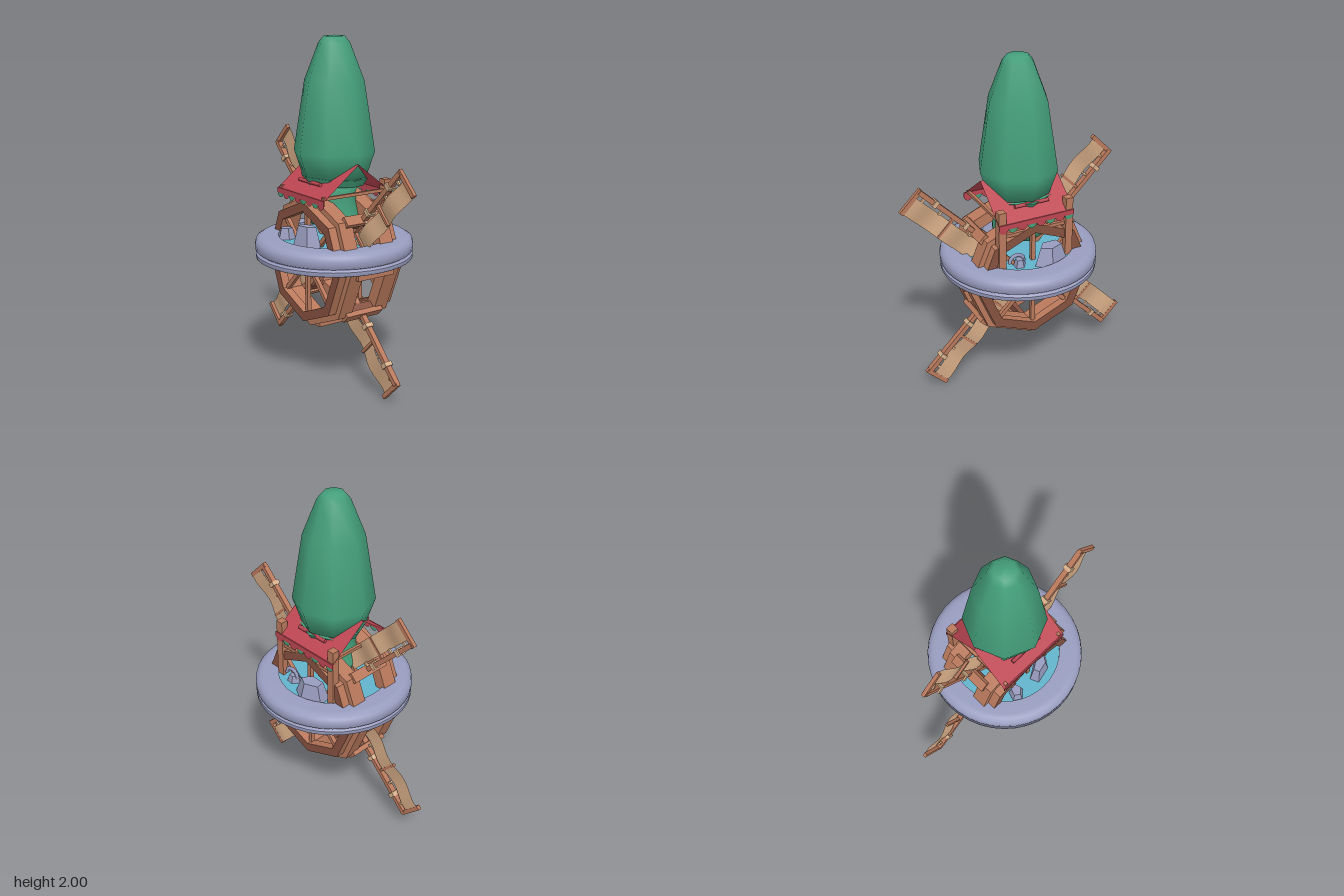
import * as THREE from 'three';

const mat = (name, color, double) => {
  const m = new THREE.MeshStandardMaterial({ color });
  m.name = name;
  if (double) m.side = THREE.DoubleSide;
  return m;
};

export function createModel() {
  const model = new THREE.Group();
  model.name = 'waterwheelFountain';
  const wood = mat('wood', 0xb9795c);
  const darkWood = mat('darkWood', 0x865140);
  const rope = mat('rope', 0xd6b08c);
  const cloth = mat('sailCloth', 0xcfa682, true);
  const leaf = mat('leafGreen', 0x449f7b, true);
  const red = mat('awningRed', 0xbd4652, true);
  const stone = mat('stone', 0x999dbf);
  const water = mat('water', 0x62b4cc);

  const add = (parent, name, geo, material, x = 0, y = 0, z = 0) => {
    const mesh = new THREE.Mesh(geo, material);
    mesh.name = name;
    mesh.position.set(x, y, z);
    parent.add(mesh);
    return mesh;
  };
  const box = (parent, name, material, w, h, d, x, y, z) =>
    add(parent, name, new THREE.BoxGeometry(w, h, d), material, x, y, z);
  const pts = (list) => list.map(([x, y]) => new THREE.Vector2(x, y));

  // Tree: eight-sided crown, tilted collar and bell-shaped lower foliage
  add(model, 'treeCrown', new THREE.LatheGeometry(pts([
    [0, 1.2], [0.185, 1.2], [0.235, 1.35], [0.172, 1.75], [0.09, 1.96], [0.06, 1.995], [0, 2],
  ]), 8), leaf);
  const collar = add(model, 'treeCollar', new THREE.CylinderGeometry(0.195, 0.17, 0.045, 8), leaf, 0, 1.18, 0);
  collar.rotation.z = -0.06;
  add(model, 'lowerFoliage', new THREE.LatheGeometry(pts([
    [0, 0.94], [0.16, 0.94], [0.16, 0.98], [0.12, 1.1], [0.15, 1.18], [0, 1.19],
  ]), 8), leaf);

  // Stone basin with a grooved rim, and the water in it
  add(model, 'basin', new THREE.LatheGeometry(pts([
    [0, 0.73], [0.45, 0.73], [0.45, 0.73], [0.459, 0.735], [0.459, 0.757], [0.459, 0.757], [0.447, 0.763],
    [0.447, 0.77], [0.447, 0.77], [0.459, 0.778], [0.462, 0.81], [0.455, 0.838], [0.43, 0.853],
    [0.4, 0.856], [0.325, 0.856], [0.325, 0.856], [0.325, 0.81], [0, 0.81],
  ]), 40), stone);
  const pool = add(model, 'water', new THREE.CircleGeometry(0.327, 40), water, 0, 0.835, 0);
  pool.rotation.x = -Math.PI / 2;

  // Rocks in the pool
  const rock = (x, z, w, h, d, turn) => {
    const g = new THREE.CylinderGeometry(0.3, 0.5, 1, 5).toNonIndexed();
    g.computeVertexNormals();
    const m = add(model, 'rock', g, stone, x, 0.81 + h / 2, z);
    m.scale.set(w, h, d);
    m.rotation.y = turn;
  };
  rock(0.25, -0.08, 0.15, 0.13, 0.24, 0.2);
  rock(0.22, 0.1, 0.08, 0.07, 0.1, 0.7);
  rock(-0.23, 0.06, 0.1, 0.14, 0.2, 0.4);
  rock(-0.24, -0.14, 0.1, 0.09, 0.12, 1);
  const spout = add(model, 'spoutArch', new THREE.TorusGeometry(0.045, 0.012, 5, 6, Math.PI), stone, 0.22, 0.865, 0.12);
  spout.rotation.y = Math.PI / 2;

  // Water wheel: octagonal rims, spokes, paddles and hub, turning about x
  const wheel = new THREE.Group();
  wheel.name = 'waterWheel';
  wheel.position.y = 0.72;
  model.add(wheel);
  const octagon = (r) => pts(Array.from({ length: 8 }, (_, i) =>
    [r * Math.cos(i * Math.PI / 4), r * Math.sin(i * Math.PI / 4)]));
  const rim = (name, outer, inner, width, x, material) => {
    const shape = new THREE.Shape(octagon(outer));
    shape.holes.push(new THREE.Path(octagon(inner).reverse()));
    const g = new THREE.ExtrudeGeometry(shape, { depth: width, bevelEnabled: false });
    g.translate(0, 0, -width / 2).rotateY(Math.PI / 2);
    add(wheel, name, g, material, x);
  };
  for (const s of [-1, 1]) {
    rim('innerRim', 0.392, 0.315, 0.09, s * 0.125, wood);
    rim('outerRim', 0.357, 0.3, 0.05, s * 0.195, [darkWood, wood]);
    for (let i = 0; i < 8; i++) {
      const arm = new THREE.Group();
      arm.name = 'spoke';
      arm.rotation.x = i * Math.PI / 4;
      box(arm, 'spokeBar', wood, 0.025, 0.29, 0.025, s * 0.185, 0.175, 0);
      wheel.add(arm);
    }
    const ring = add(wheel, 'hubRing', new THREE.TorusGeometry(0.048, 0.014, 6, 16), stone, s * 0.22, -0.015);
    ring.rotation.y = Math.PI / 2;
  }
  for (let i = 0; i < 8; i++) {
    const arm = new THREE.Group();
    arm.name = 'paddle';
    arm.rotation.x = i * Math.PI / 4;
    box(arm, 'paddleBoard', wood, 0.25, 0.03, 0.06, 0, 0.39, 0);
    box(arm, 'paddleBrace', darkWood, 0.24, 0.05, 0.03, 0, 0.355, 0);
    wheel.add(arm);
  }
  const axle = add(wheel, 'axle', new THREE.CylinderGeometry(0.032, 0.032, 0.47, 12), stone, 0, -0.015);
  axle.rotation.z = Math.PI / 2;

  // Four sails in the plane x = 0; each is built along its own x axis
  const sails = new THREE.Group();
  sails.name = 'sails';
  sails.position.y = 0.72;
  sails.rotation.y = Math.PI / 2;
  model.add(sails);
  for (let i = 0; i < 4; i++) {
    const sail = new THREE.Group();
    sail.name = 'sail';
    sail.rotation.z = Math.PI / 4 + i * Math.PI / 2;
    sails.add(sail);
    box(sail, 'boom', wood, 0.83, 0.028, 0.032, 0.43, 0.005, 0);
    box(sail, 'endBar', wood, 0.026, 0.172, 0.022, 0.845, 0.074, 0);
    for (const r of [0.28, 0.56]) box(sail, 'crossBar', wood, 0.016, 0.15, 0.02, r, 0.078, 0);
    for (const r of [0.47, 0.72]) box(sail, 'ropeBinding', rope, 0.026, 0.042, 0.05, r, 0.005, 0);
    for (const r of [0.4, 0.65, 0.79]) box(sail, 'ropeTie', rope, 0.014, 0.03, 0.012, r, 0.03, 0);
    const g = new THREE.PlaneGeometry(0.67, 0.115, 16, 1);
    const p = g.attributes.position;
    for (let k = 0; k < p.count; k++) p.setZ(k, 0.012 * Math.sin((p.getX(k) + 0.335) * 22));
    g.computeVertexNormals();
    add(sail, 'sailCloth', g, cloth, 0.5, 0.097, 0);
  }

  // Gabled awning: one thin slope on each side, with a hanging scalloped edge
  const slope = Math.atan2(0.18, 0.235);
  for (const s of [-1, 1]) {
    const roof = add(model, 'awning', new THREE.PlaneGeometry(Math.hypot(0.235, 0.18), 0.47).rotateX(-Math.PI / 2),
      red, s * 0.1175, 1.21, 0);
    roof.rotation.z = -s * slope;
    const roll = add(model, 'awningRoll', new THREE.CylinderGeometry(0.012, 0.012, 0.21, 6), red, s * 0.168, 1.185, 0);
    roll.rotation.x = Math.PI / 2;
    box(model, 'awningEdge', red, 0.006, 0.03, 0.47, s * 0.235, 1.108, 0);
    for (let i = 0; i < 8; i++) {
      const tooth = add(model, 'awningScallop', new THREE.CircleGeometry(0.029, 8, Math.PI, Math.PI),
        i % 2 ? red : leaf, s * 0.235, 1.096, -0.206 + i * 0.0588);
      tooth.rotation.y = Math.PI / 2;
    }
  }

  // Awning frame: two posts on the left side and a rail across each end
  for (const s of [-1, 1]) {
    box(model, 'awningPost', wood, 0.045, 0.47, 0.045, 0.208, 0.96, s * 0.21);
    box(model, 'awningRail', wood, 0.46, 0.018, 0.018, 0, 1.13, s * 0.21);
  }
  box(model, 'sideRail', wood, 0.02, 0.02, 0.42, 0.208, 1.04, 0);

  return model;
}
